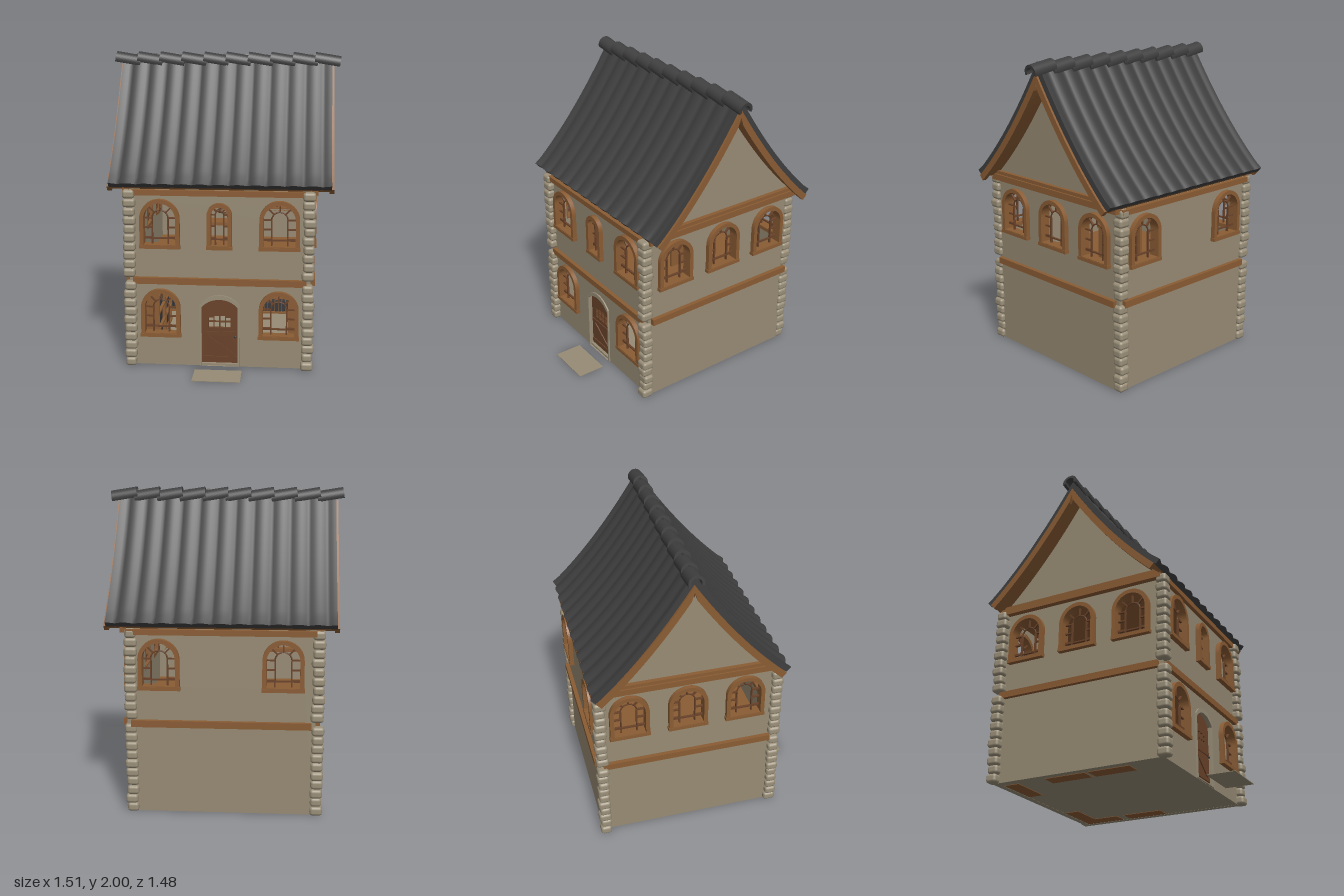
import * as THREE from 'three';
import { RoundedBoxGeometry } from 'three/addons/geometries/RoundedBoxGeometry.js';

const mat = (name, color) => Object.assign(new THREE.MeshStandardMaterial({ color }), { name });
const HX = 0.58, HZ = 0.585, T = 0.04; // half width, half depth, wall thickness

export function createModel() {
  const plaster = mat('plaster', 0x978b74), stone = mat('stone', 0x9a8f79), timber = mat('timber', 0x8a5c34);
  const darkWood = mat('dark wood', 0x6a432a), slate = mat('slate', 0x3f3f3f), book = mat('book', 0x3a3a3c);
  const model = new THREE.Group();
  const house = new THREE.Group();
  house.name = 'house';
  house.position.set(-0.015, 0, -0.11);
  model.add(house);

  let seed = 7;
  const rnd = () => (seed = (seed * 16807) % 2147483647) / 2147483647;

  const add = (parent, name, geo, material, x = 0, y = 0, z = 0) => {
    const m = new THREE.Mesh(geo, material);
    m.name = name;
    m.position.set(x, y, z);
    parent.add(m);
    return m;
  };
  const box = (parent, name, material, w, h, d, x, y, z) =>
    add(parent, name, new THREE.BoxGeometry(w, h, d), material, x, y, z);
  const extrude = (shape, depth) =>
    new THREE.ExtrudeGeometry(shape, { depth, bevelEnabled: false, curveSegments: 16 });

  // Round-headed outline
  const arch = (Type, u, w, y0, y1) => {
    const p = new Type(), r = w / 2;
    p.moveTo(u - r, y0);
    p.lineTo(u + r, y0);
    p.lineTo(u + r, y1 - r);
    p.absarc(u, y1 - r, r, 0, Math.PI, false);
    p.lineTo(u - r, y0);
    return p;
  };
  // Shallow-headed doorway outline
  const doorway = (Type, hw, side, top) => {
    const p = new Type();
    p.moveTo(-hw, 0.004);
    p.lineTo(hw, 0.004);
    p.lineTo(hw, side);
    p.quadraticCurveTo(hw * 0.6, top, 0, top);
    p.quadraticCurveTo(-hw * 0.6, top, -hw, side);
    p.lineTo(-hw, 0.004);
    return p;
  };

  // Curved roof slope: t runs from ridge to eave, o is the depth below its surface
  const slope = new THREE.QuadraticBezierCurve(
    new THREE.Vector2(0, 1.965), new THREE.Vector2(0.3, 1.49), new THREE.Vector2(0.615, 1.205));
  const slopeAt = (t, o) => {
    const p = slope.getPoint(t), g = slope.getTangent(t);
    if (t === 0) return new THREE.Vector2(0, p.y - o / g.x);
    return new THREE.Vector2(Math.max(0, p.x + g.y * o), p.y - g.x * o);
  };
  const slopeLine = (o) => Array.from({ length: 17 }, (_, i) => slopeAt(i / 16, o));
  const band = (o1, o2, s) => new THREE.Shape(
    [...slopeLine(o1), ...slopeLine(o2).reverse()].map((p) => new THREE.Vector2(p.x * s, p.y)));

  // Window: frame, sill, and glazing bars with an inner arch
  function addWindow(side, u, w, y0, y1, half) {
    const g = new THREE.Group();
    g.name = 'window';
    side.add(g);
    const f = 0.026, z = half - 0.012, r = w / 2 - f, cy = y1 - w / 2, ri = r * 0.5;
    const frame = arch(THREE.Shape, u, w, y0, y1);
    frame.holes.push(arch(THREE.Path, u, 2 * r, y0 + f, y1 - f));
    add(g, 'windowFrame', extrude(frame, T + 0.03), timber, 0, 0, half - T);
    box(g, 'windowSill', timber, w + 0.008, 0.022, 0.04, u, y0 + 0.011, half + 0.013);
    const bar = (len, x, y, angle) => {
      const b = box(g, 'glazingBar', darkWood, len, 0.009, 0.014, x, y, z);
      b.rotation.z = angle;
    };
    const low = y0 + f;
    for (const s of [-1, 1]) {
      bar(cy - low, u + s * ri, (cy + low) / 2, Math.PI / 2);
      for (const k of [0.08, 0.55, 1]) bar(r - ri, u + s * (r + ri) / 2, low + 0.03 + (cy - low - 0.03) * k, 0);
    }
    bar(2 * r, u, low + 0.035, 0);
    add(g, 'innerArch', new THREE.TorusGeometry(ri, 0.005, 5, 14, Math.PI), darkWood, u, cy, z);
    for (const a of [0.25, 0.5, 0.75].map((k) => k * Math.PI))
      bar(r - ri, u + Math.cos(a) * (r + ri) / 2, cy + Math.sin(a) * (r + ri) / 2, a);
  }

  // Four sides, each built facing +z and turned into place
  const W = 0.255, up = [0.79, 1.11];
  const pair = [[-0.38, W, ...up], [0.38, W, ...up]];
  const sides = [
    { name: 'front', hw: HX, half: HZ, wins: [...pair, [0, 0.16, 0.79, 1.09], [-0.38, W, 0.2, 0.52], [0.38, W, 0.2, 0.52]] },
    { name: 'left', hw: HZ, half: HX, gable: true, wins: [...pair, [0, W, ...up]] },
    { name: 'back', hw: HX, half: HZ, wins: pair },
    { name: 'right', hw: HZ, half: HX, gable: true, wins: [...pair, [0, W, ...up]] },
  ];
  sides.forEach(({ name, hw, half, gable, wins }, i) => {
    const side = new THREE.Group();
    side.name = name + 'Side';
    side.rotation.y = i * Math.PI / 2;
    house.add(side);

    const pts = [[-hw, 0.002], [hw, 0.002], [hw, 1.165]].map((p) => new THREE.Vector2(...p));
    if (gable) {
      const line = slopeLine(0.045).filter((p) => p.x < hw - 0.005);
      pts.push(...line.slice(1).reverse(), ...line.map((p) => new THREE.Vector2(-p.x, p.y)));
    }
    pts.push(new THREE.Vector2(-hw, 1.165));
    const wall = new THREE.Shape(pts);
    for (const [u, w, y0, y1] of wins) wall.holes.push(arch(THREE.Path, u, w - 0.03, y0 + 0.015, y1 - 0.015));
    if (i === 0) wall.holes.push(doorway(THREE.Path, 0.12, 0.405, 0.46));
    add(side, name + 'Wall', extrude(wall, T), plaster, 0, 0, half - T);
    for (const w of wins) addWindow(side, ...w, half);

    // Floor beam and eave or gable beam
    box(side, 'floorBeam', timber, 2 * hw - 0.05, 0.042, 0.03, 0, 0.576, half + 0.012);
    if (gable) {
      box(side, 'gableBeam', timber, 2 * hw + 0.01, 0.04, 0.04, 0, 1.165, half + 0.018);
      box(side, 'gableBeamCap', timber, 2 * hw - 0.04, 0.022, 0.03, 0, 1.196, half + 0.012);
      for (const s of [-1, 1]) add(side, 'bargeBoard', extrude(band(0.026, 0.068, s), 0.03), timber, 0, 0, 0.685);
    } else {
      box(side, 'eaveBeam', timber, 2 * hw, 0.035, 0.03, 0, 1.152, half + 0.012);
    }
  });

  // Door with small panes, planks and a stone surround
  const door = new THREE.Group();
  door.name = 'door';
  door.position.z = HZ;
  house.add(door);
  const leaf = doorway(THREE.Shape, 0.119, 0.405, 0.458);
  for (let c = 0; c < 4; c++) for (let r = 0; r < 2; r++) {
    const x = -0.073 + c * 0.037, y = 0.257 + r * 0.043, top = y + (r && (c === 0 || c === 3) ? 0.026 : 0.037);
    leaf.holes.push(new THREE.Path([[x, y], [x + 0.031, y], [x + 0.031, top], [x, top]].map((p) => new THREE.Vector2(...p))));
  }
  add(door, 'doorLeaf', extrude(leaf, 0.02), darkWood, 0, 0, -0.04);
  for (const y of [0.05, 0.22]) box(door, 'doorRail', darkWood, 0.225, 0.025, 0.008, 0, y, -0.017);
  box(door, 'doorBrace', darkWood, 0.24, 0.022, 0.008, 0, 0.135, -0.017).rotation.z = -0.62;
  add(door, 'doorKnob', new THREE.SphereGeometry(0.008, 10, 8), slate, 0.1, 0.2, -0.01);
  const surround = doorway(THREE.Shape, 0.128, 0.42, 0.484);
  surround.holes.push(doorway(THREE.Path, 0.117, 0.402, 0.455));
  add(door, 'doorSurround', extrude(surround, 0.014), stone, 0, 0, -0.004);

  // Corner stones, stacked separately on each storey
  for (const [x, z] of [[-0.575, 0.592], [0.565, 0.592], [-0.592, -0.57], [0.555, -0.575]]) {
    const corner = new THREE.Group();
    corner.name = 'cornerStones';
    house.add(corner);
    for (const y0 of [0, 0.6]) {
      const n = 10, h = 0.57 / n;
      for (let k = 0; k < n; k++) {
        const geo = new RoundedBoxGeometry(0.068 + rnd() * 0.014, h, 0.068 + rnd() * 0.014, 3, 0.019);
        add(corner, 'cornerStone', geo, stone, x + (rnd() - 0.5) * 0.008, y0 + (k + 0.5) * h, z + (rnd() - 0.5) * 0.008);
      }
    }
  }

  // Roof slopes with rippled tiles, and boards beneath
  for (const s of [0, 1]) {
    const geo = new THREE.BoxGeometry(1.4, 1, 1, 96, 1, 16), p = geo.attributes.position;
    for (let i = 0; i < p.count; i++) {
      const t = p.getZ(i) + 0.5, x = p.getX(i);
      const ripple = Math.abs(Math.cos(x * Math.PI / 0.117)) * 0.012;
      const v = slopeAt(t, p.getY(i) > 0 ? -ripple : 0.028);
      p.setXYZ(i, x, v.y, v.x + (t === 1 ? ripple * 0.6 : 0));
    }
    geo.computeVertexNormals();
    add(house, 'roofSlope', geo, slate).rotation.y = s * Math.PI;
    const boards = extrude(band(0.026, 0.045, s ? 1 : -1), 1.4);
    boards.translate(0, 0, -0.7);
    add(house, 'roofBoards', boards, timber).rotation.y = Math.PI / 2;
  }

  // Overlapping half-round ridge tiles
  const a0 = -0.35, a1 = Math.PI + 0.35;
  const ring = new THREE.Shape();
  ring.absarc(0, 0, 0.05, a0, a1, false);
  ring.absarc(0, 0, 0.032, a1, a0, true);
  const tile = new THREE.ExtrudeGeometry(ring, { depth: 0.17, bevelEnabled: false, curveSegments: 20 });
  tile.rotateY(Math.PI / 2);
  tile.rotateZ(-0.16);
  for (let k = 0; k < 10; k++) add(house, 'ridgeTile', tile, slate, -0.75 + k * 0.1483, 1.95, 0);

  // Floors and ceiling
  box(house, 'groundFloor', plaster, 2 * HX, 0.015, 2 * HZ, 0, 0.0105, 0);
  box(house, 'upperFloor', timber, 2 * HX - 0.06, 0.03, 2 * HZ - 0.06, 0, 0.575, 0);
  box(house, 'ceiling', timber, 2 * HX - 0.06, 0.015, 2 * HZ - 0.06, 0, 1.15, 0);

  // Bookcases against the ground floor walls
  const cases = [[0.48, -0.4, -1], [0.48, -0.07, -1], [0.34, -0.485, 0], [-0.38, -0.485, 0], [-0.48, -0.1, 1], [-0.48, 0.2, 1]];
  for (const [x, z, turn] of cases) {
    const g = new THREE.Group();
    g.name = 'bookcase';
    g.position.set(x, 0, z);
    g.rotation.y = turn * Math.PI / 2;
    house.add(g);
    box(g, 'caseBack', timber, 0.27, 0.5, 0.012, 0, 0.25, -0.044);
    box(g, 'casePlinth', timber, 0.27, 0.03, 0.1, 0, 0.015, 0);
    for (const s of [-1, 1]) box(g, 'caseSide', timber, 0.012, 0.5, 0.1, s * 0.132, 0.25, 0);
    for (let r = 0; r < 4; r++) {
      box(g, 'shelf', timber, 0.26, 0.012, 0.1, 0, 0.14 + r * 0.118, 0);
      for (let b = 0; b < 9; b++) {
        const h = 0.06 + rnd() * 0.03;
        box(g, 'book', book, 0.02, h, 0.06, -0.11 + b * 0.0265, 0.028 + r * 0.118 + h / 2, 0);
      }
    }
  }

  // Hanging lamp and low bench upstairs
  const lamp = new THREE.Group();
  lamp.name = 'hangingLamp';
  lamp.position.set(0, 0, -0.04);
  house.add(lamp);
  add(lamp, 'lampRod', new THREE.CylinderGeometry(0.005, 0.005, 0.3, 6), darkWood, 0, 1.0, 0);
  add(lamp, 'lampRing', new THREE.TorusGeometry(0.075, 0.005, 6, 20), darkWood, 0, 0.9, 0).rotation.x = Math.PI / 2;
  for (let k = 0; k < 4; k++) {
    const arm = new THREE.Group();
    arm.rotation.y = k * Math.PI / 2;
    lamp.add(arm);
    box(arm, 'lampArm', darkWood, 0.1, 0.006, 0.006, 0.038, 0.932, 0).rotation.z = -0.7;
  }
  box(house, 'bench', timber, 0.3, 0.02, 0.14, 0, 0.83, 0.0);
  for (const s of [-1, 1]) box(house, 'benchEnd', timber, 0.02, 0.24, 0.14, s * 0.13, 0.71, 0);

  // Doormat
  box(model, 'doormat', plaster, 0.305, 0.004, 0.185, -0.0175, 0.002, 0.6425);
  return model;
}
